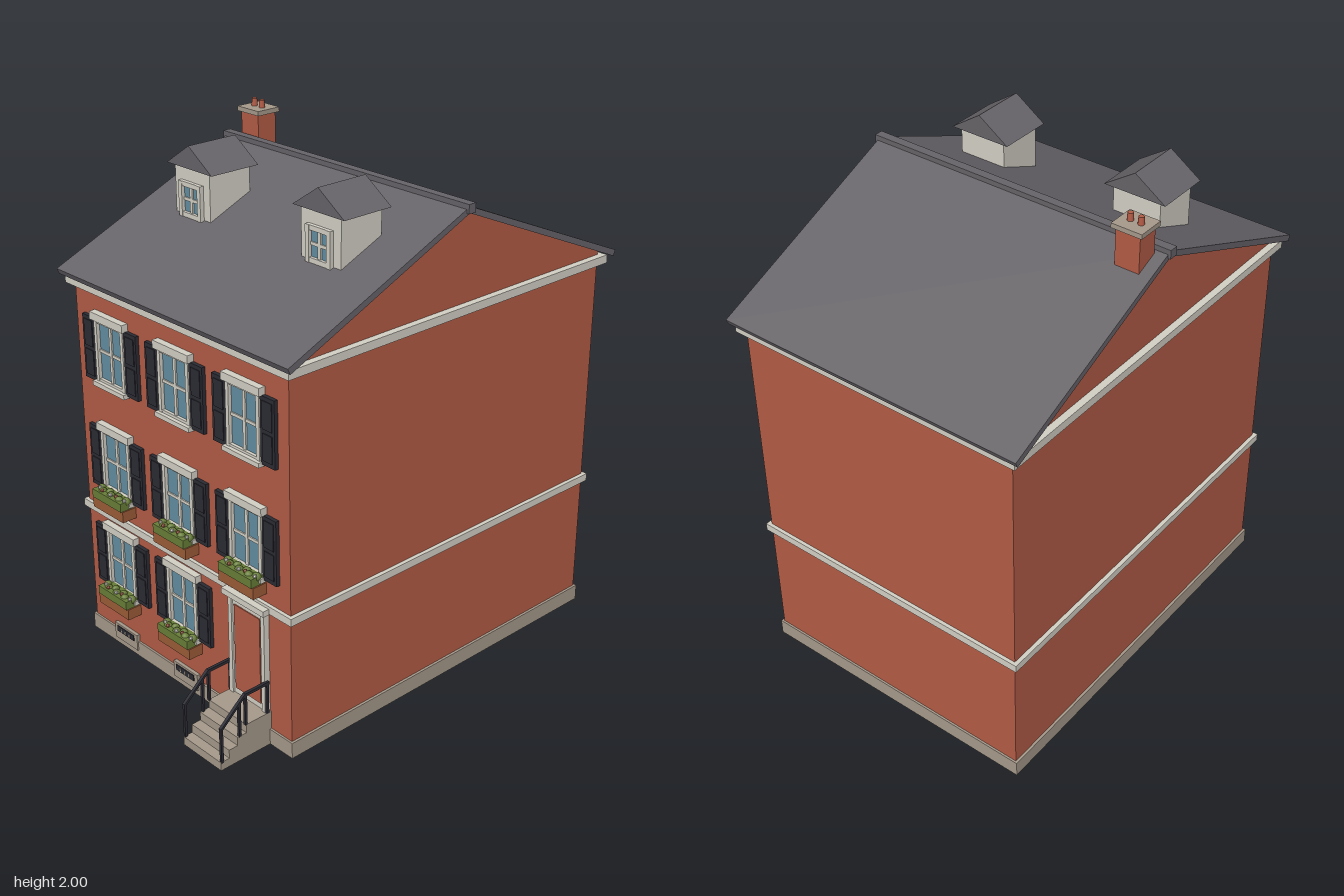
import * as THREE from 'three';

const mat = (name, color) => {
  const m = new THREE.MeshStandardMaterial({ color });
  m.name = name;
  return m;
};

export function createModel() {
  const brick = mat('brick', 0xb35c46);
  const trim = mat('cream trim', 0xd3d0c5);
  const stone = mat('stone', 0xa69a8b);
  const slate = mat('roof slate', 0x676469);
  const dark = mat('dark paint', 0x2b2b34);
  const glass = mat('window glass', 0x648ea2);
  const leaf = mat('foliage', 0x687e38);
  const wood = mat('planter wood', 0x9c5c38);

  const house = new THREE.Group();
  house.name = 'townHouse';

  const add = (parent, name, geo, material) => {
    const mesh = new THREE.Mesh(geo, material);
    mesh.name = name;
    parent.add(mesh);
    return mesh;
  };
  // Box given by its limits on each axis
  const box = (parent, name, material, x0, x1, y0, y1, z0, z1) => {
    const mesh = add(parent, name, new THREE.BoxGeometry(x1 - x0, y1 - y0, z1 - z0), material);
    mesh.position.set((x0 + x1) / 2, (y0 + y1) / 2, (z0 + z1) / 2);
    return mesh;
  };
  const group = (name, x = 0, y = 0, z = 0) => {
    const g = new THREE.Group();
    g.name = name;
    g.position.set(x, y, z);
    house.add(g);
    return g;
  };
  // Side profile of [z, y] points, extruded across x from x0 to x1
  const sideProfile = (parent, name, material, points, x0, x1) => {
    const shape = new THREE.Shape(points.map(([z, y]) => new THREE.Vector2(-z, y)));
    const geo = new THREE.ExtrudeGeometry(shape, { depth: x1 - x0, bevelEnabled: false });
    geo.rotateY(Math.PI / 2).translate(x0, 0, 0);
    return add(parent, name, geo, material);
  };

  // Walls with gables, plinth, string course and cornice
  sideProfile(house, 'brickWalls', brick,
    [[0.68, 0.03], [0.68, 1.51], [-0.095, 1.84], [-0.87, 1.51], [-0.87, 0.03]], -0.578, 0.578);
  box(house, 'plinth', stone, -0.588, 0.588, 0, 0.063, -0.878, 0.688);
  box(house, 'stringCourse', trim, -0.594, 0.594, 0.547, 0.577, -0.884, 0.694);
  box(house, 'cornice', trim, -0.605, 0.605, 1.462, 1.494, -0.895, 0.705);

  // Pitched roof and ridge cap
  sideProfile(house, 'roof', slate,
    [[0.715, 1.492], [0.725, 1.514], [-0.095, 1.862], [-0.915, 1.514], [-0.905, 1.492], [-0.095, 1.838]],
    -0.625, 0.625);
  box(house, 'ridgeCap', slate, -0.635, 0.635, 1.84, 1.874, -0.112, -0.078);

  // Glass with casing and cross bars, centred on x = 0, bottom at y = 0
  const sash = (parent, w, h, border, z) => {
    const a = w / 2, b = a - border;
    box(parent, 'pane', glass, -b, b, border, h - border, z, z + 0.004);
    for (const s of [-1, 1]) {
      const x = s * (a - border / 2);
      box(parent, 'jamb', trim, x - border / 2, x + border / 2, 0, h, z, z + 0.018);
    }
    box(parent, 'headRail', trim, -b, b, h - border, h, z, z + 0.016);
    box(parent, 'bottomRail', trim, -b, b, 0, border, z, z + 0.016);
    box(parent, 'mullion', trim, -0.007, 0.007, border, h - border, z, z + 0.01);
    box(parent, 'transom', trim, -b, b, h * 0.5 - 0.006, h * 0.5 + 0.006, z, z + 0.009);
  };

  // Planter box with leaves and small blossoms
  const planter = (parent) => {
    box(parent, 'planterBox', wood, -0.092, 0.092, -0.062, -0.018, 0.682, 0.743);
    box(parent, 'leaves', leaf, -0.087, 0.087, -0.018, 0.016, 0.69, 0.748);
    for (let i = 0; i < 7; i++) {
      const x = -0.075 + i * 0.025;
      const clump = add(parent, 'leafClump', new THREE.IcosahedronGeometry(0.017, 1), leaf);
      clump.position.set(x, 0.01, 0.712 + (i % 2) * 0.014);
      if (i % 3 === 2) continue;
      const flower = add(parent, 'blossom', new THREE.IcosahedronGeometry(0.008, 0), i % 3 ? brick : trim);
      flower.position.set(x + 0.01, 0.022, 0.728 + (i % 2) * 0.008);
    }
  };

  // Three storeys of shuttered windows; the right bay at street level is the door
  for (const [row, y] of [0.255, 0.675, 1.115].entries()) {
    for (const x of [-0.368, 0, 0.366]) {
      if (row === 0 && x > 0.1) continue;
      const win = group('window', x, y, 0);
      sash(win, 0.17, 0.25, 0.016, 0.68);
      box(win, 'lintel', trim, -0.097, 0.097, 0.245, 0.275, 0.678, 0.707);
      box(win, 'sill', trim, -0.094, 0.094, -0.012, 0.006, 0.678, 0.711);
      for (const s of [-1, 1]) {
        const c = s * 0.123;
        box(win, 'shutter', dark, c - 0.035, c + 0.035, -0.002, 0.247, 0.678, 0.695);
        for (const [lo, hi] of [[0.015, 0.115], [0.13, 0.232]])
          box(win, 'shutterPanel', dark, c - 0.024, c + 0.024, lo, hi, 0.69, 0.698);
      }
      if (row < 2) planter(win);
    }
  }

  // Basement vents
  for (const x of [-0.368, 0]) {
    const vent = group('basementVent', x, 0, 0);
    box(vent, 'ventSurround', stone, -0.07, 0.07, 0.025, 0.092, 0.68, 0.694);
    box(vent, 'ventOpening', dark, -0.052, 0.052, 0.06, 0.084, 0.692, 0.697);
    for (let i = -1; i <= 1; i++)
      box(vent, 'ventBar', stone, i * 0.025 - 0.003, i * 0.025 + 0.003, 0.064, 0.078, 0.694, 0.699);
  }

  // Front door
  const door = group('frontDoor', 0.369, 0, 0);
  box(door, 'doorFrame', trim, -0.096, 0.096, 0.135, 0.545, 0.678, 0.696);
  for (const s of [-1, 1])
    box(door, 'doorPilaster', trim, s * 0.087 - 0.009, s * 0.087 + 0.009, 0.135, 0.545, 0.68, 0.704);
  box(door, 'doorHood', trim, -0.112, 0.112, 0.543, 0.566, 0.678, 0.72);
  box(door, 'doorPanel', brick, -0.068, 0.068, 0.16, 0.508, 0.692, 0.7);

  // Entrance steps
  const stoop = group('stoop', 0.368, 0, 0);
  sideProfile(stoop, 'steps', stone,
    [[0.68, 0], [0.68, 0.136], [0.797, 0.136], [0.797, 0.102], [0.838, 0.102], [0.838, 0.068],
      [0.877, 0.068], [0.877, 0.034], [0.915, 0.034], [0.915, 0]], -0.103, 0.103);

  // Handrails on both sides of the steps
  const railHeight = (z) => (z < 0.8 ? 0.26 : 0.26 - (z - 0.8) * 0.86);
  for (const s of [-1, 1]) {
    const x = s * 0.1;
    for (const [z, foot] of [[0.697, 0.136], [0.797, 0.136], [0.826, 0.1], [0.908, 0.03]])
      box(stoop, 'railPost', dark, x - 0.005, x + 0.005, foot, railHeight(z), z - 0.005, z + 0.005);
    sideProfile(stoop, 'handrail', dark,
      [[0.69, 0.256], [0.69, 0.267], [0.802, 0.267], [0.913, 0.172], [0.913, 0.159], [0.8, 0.256]],
      x - 0.006, x + 0.006);
  }

  // Dormers
  for (const x of [-0.337, 0.337]) {
    const dormer = group('dormer', x, 0, 0);
    box(dormer, 'dormerBody', trim, -0.097, 0.097, 1.682, 1.872, 0.13, 0.316);
    const win = new THREE.Group();
    win.name = 'dormerWindow';
    win.position.y = 1.683;
    dormer.add(win);
    sash(win, 0.122, 0.132, 0.018, 0.315);
    const gable = new THREE.Shape([
      new THREE.Vector2(-0.126, 1.867), new THREE.Vector2(0.126, 1.867), new THREE.Vector2(0, 1.952)]);
    const geo = new THREE.ExtrudeGeometry(gable, { depth: 0.217, bevelEnabled: false });
    add(dormer, 'dormerRoof', geo.translate(0, 0, 0.113), slate);
  }

  // Chimney with cap and two pots
  const chimney = group('chimney', -0.532, 0, -0.168);
  box(chimney, 'chimneyStack', brick, -0.048, 0.048, 1.75, 1.954, -0.043, 0.043);
  box(chimney, 'chimneyCap', stone, -0.06, 0.06, 1.953, 1.971, -0.053, 0.053);
  for (const x of [-0.021, 0.021]) {
    const pot = add(chimney, 'chimneyPot', new THREE.CylinderGeometry(0.01, 0.012, 0.03, 12), brick);
    pot.position.set(x, 1.985, 0);
  }

  return house;
}
